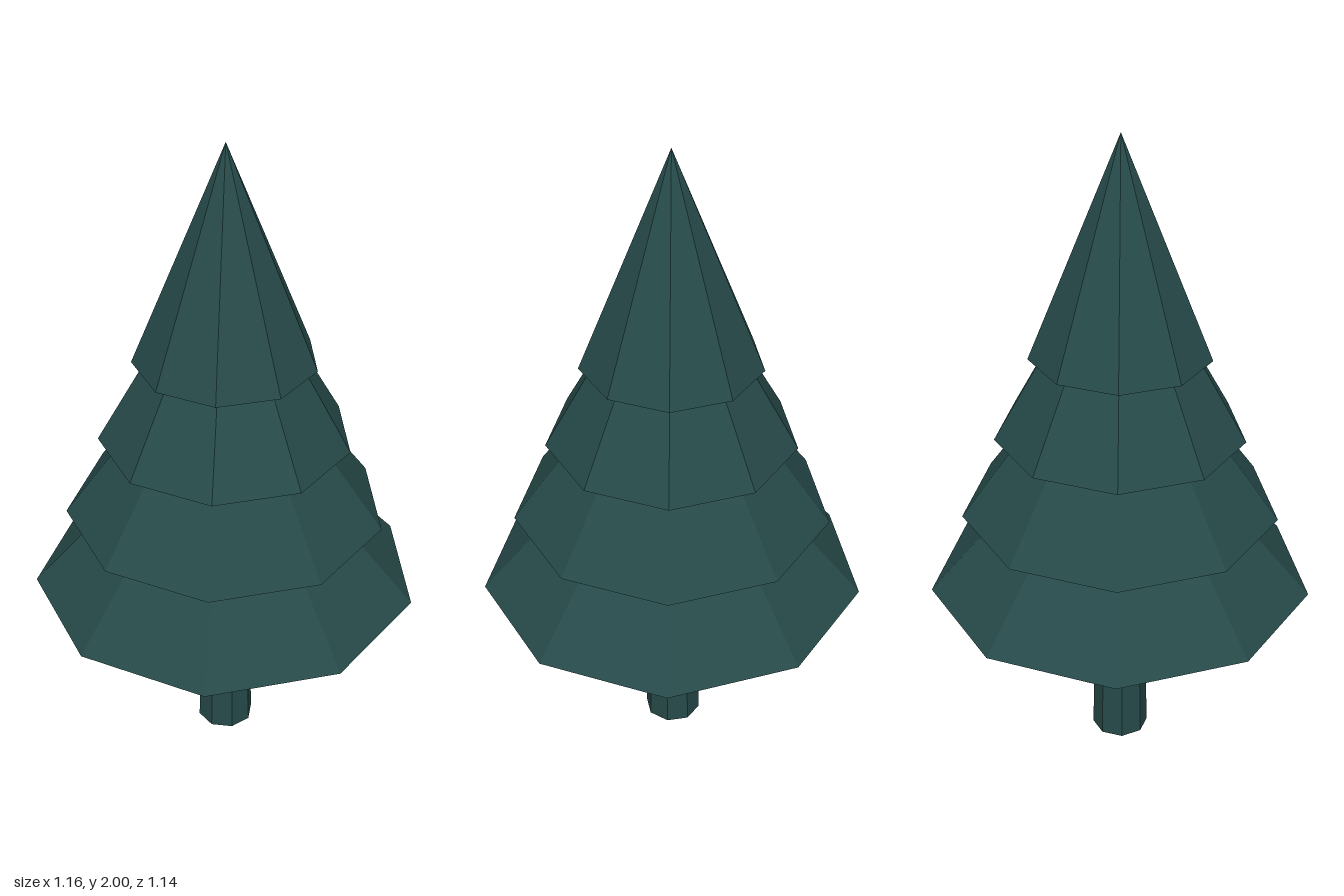
import * as THREE from 'three';

export function createModel() {
  const tree = new THREE.Group();
  tree.name = 'pineTree';
  const pineGreen = new THREE.MeshStandardMaterial({ color: 0x264a49, flatShading: true });
  pineGreen.name = 'darkPineGreen';
  const centreZ = 0.018;

  // Tapered eight-sided trunk
  const trunkHeight = 0.58;
  const trunk = new THREE.Mesh(new THREE.CylinderGeometry(0.075, 0.088, trunkHeight, 8), pineGreen);
  trunk.name = 'trunk';
  trunk.position.set(0, trunkHeight / 2, centreZ);
  tree.add(trunk);

  // Four overlapping nine-sided cones of equal height, shrinking upwards
  const tierHeight = 0.66;
  for (let i = 0; i < 4; i++) {
    const radius = 0.588 - i * 0.1055;
    const base = 0.575 + i * 0.255;
    const tier = new THREE.Mesh(new THREE.ConeGeometry(radius, tierHeight, 9), pineGreen);
    tier.name = `foliageTier${i + 1}`;
    tier.rotation.y = Math.PI; // one corner points to the back
    tier.position.set(0, base + tierHeight / 2, centreZ);
    tree.add(tier);
  }
  return tree;
}
